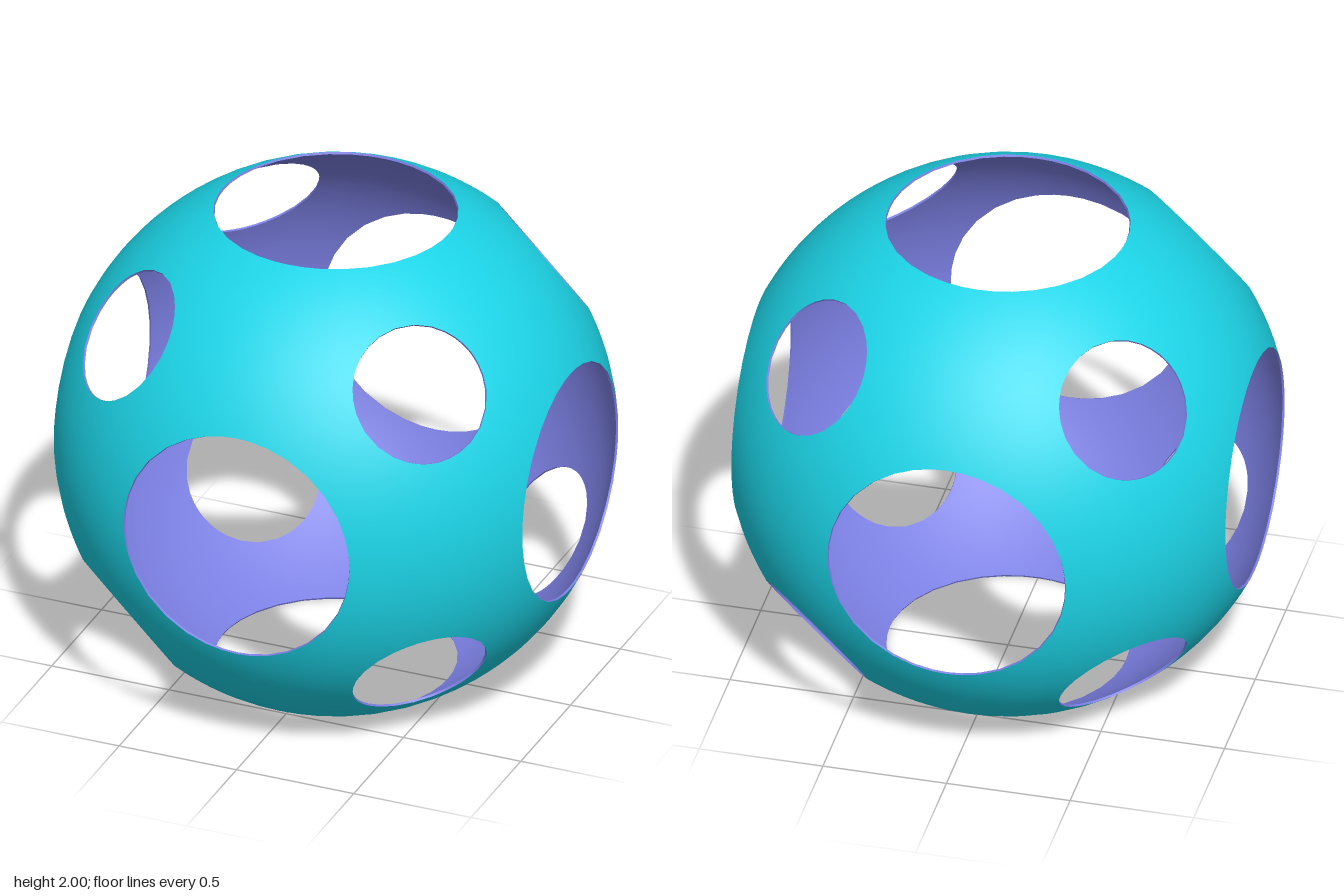
import * as THREE from 'three';

const R_OUT = 1.109, R_IN = 1.1; // thin spherical shell
const BIG = Math.atan2(0.482, 1), SMALL = Math.asin(0.277 / R_OUT); // angular hole radii
const SEAM = 0.86; // seam corners lie at permutations of (1, SEAM, 0)
const EDGE_STEPS = 9, RINGS = 8;

const signs = [-1, 1];

// Six axis holes and eight diagonal holes
function holeList() {
  const holes = [];
  for (let a = 0; a < 3; a++) for (const s of signs)
    holes.push({ dir: new THREE.Vector3().setComponent(a, s), angle: BIG, support: 1 });
  for (const x of signs) for (const y of signs) for (const z of signs)
    holes.push({ dir: new THREE.Vector3(x, y, z), angle: SMALL, support: 1 + SEAM });
  return holes;
}

// The 24 corners where neighbouring hole cells meet
function seamCorners() {
  const list = [];
  for (let a = 0; a < 3; a++) for (let b = 0; b < 3; b++) if (a !== b)
    for (const s of signs) for (const t of signs)
      list.push(new THREE.Vector3().setComponent(a, s).setComponent(b, t * SEAM));
  return list;
}

// Directions around a cell's seam, counter-clockwise seen from outside,
// paired with directions on the hole rim
function cellLoop(hole, corners) {
  const n = hole.dir.clone().normalize();
  const own = corners.filter(c => Math.abs(c.dot(hole.dir) - hole.support) < 1e-6);
  const u = own[0].clone().addScaledVector(n, -own[0].dot(n)).normalize();
  const v = new THREE.Vector3().crossVectors(n, u);
  const az = c => Math.atan2(c.dot(v), c.dot(u));
  own.sort((a, b) => az(a) - az(b));
  const loop = [];
  own.forEach((c, i) => {
    const next = own[(i + 1) % own.length];
    for (let k = 0; k < EDGE_STEPS; k++) {
      const outer = c.clone().lerp(next, k / EDGE_STEPS).normalize();
      const side = outer.clone().addScaledVector(n, -outer.dot(n)).normalize();
      const rim = n.clone().multiplyScalar(Math.cos(hole.angle)).addScaledVector(side, Math.sin(hole.angle));
      loop.push({ outer, rim, side });
    }
  });
  return loop;
}

// Joins equal closed rows of {p, n} into a surface
function rowsGeometry(rows, flip) {
  const pos = [], nor = [], index = [], m = rows[0].length;
  rows.forEach(row => row.forEach(({ p, n }) => { pos.push(p.x, p.y, p.z); nor.push(n.x, n.y, n.z); }));
  for (let r = 0; r + 1 < rows.length; r++) for (let i = 0; i < m; i++) {
    const a = r * m + i, b = r * m + (i + 1) % m, c = a + m, d = b + m;
    if (flip) index.push(a, b, c, b, d, c);
    else index.push(a, c, b, b, c, d);
  }
  const g = new THREE.BufferGeometry();
  g.setAttribute('position', new THREE.Float32BufferAttribute(pos, 3));
  g.setAttribute('normal', new THREE.Float32BufferAttribute(nor, 3));
  g.setIndex(index);
  return g;
}

// One cell of the sphere, from hole rim out to seam
function skin(loop, radius, inward) {
  const rows = [];
  for (let r = 0; r <= RINGS; r++) rows.push(loop.map(({ outer, rim }) => {
    const d = rim.clone().lerp(outer, r / RINGS).normalize();
    return { p: d.clone().multiplyScalar(radius), n: inward ? d.clone().negate() : d };
  }));
  return rowsGeometry(rows, inward);
}

// Thin wall through the shell, facing into the hole
function wall(loop, angle, axis) {
  const rows = [R_IN, R_OUT].map(radius => loop.map(({ rim, side }) => ({
    p: rim.clone().multiplyScalar(radius),
    n: side.clone().multiplyScalar(-Math.cos(angle)).addScaledVector(axis, Math.sin(angle)),
  })));
  return rowsGeometry(rows, false);
}

export function createModel() {
  const teal = new THREE.MeshStandardMaterial({ color: 0x1cd5e8 });
  teal.name = 'teal';
  const violet = new THREE.MeshStandardMaterial({ color: 0x7b7fe2 });
  violet.name = 'violet';

  const model = new THREE.Group();
  model.name = 'perforatedSphere';
  const add = (name, geometry, material) => {
    const mesh = new THREE.Mesh(geometry, material);
    mesh.name = name;
    mesh.position.y = 1;
    model.add(mesh);
  };

  const corners = seamCorners();
  for (const hole of holeList()) {
    const loop = cellLoop(hole, corners);
    add('outerShell', skin(loop, R_OUT, false), teal);
    add('innerShell', skin(loop, R_IN, true), violet);
    add('holeRim', wall(loop, hole.angle, hole.dir.clone().normalize()), violet);
  }
  return model;
}
